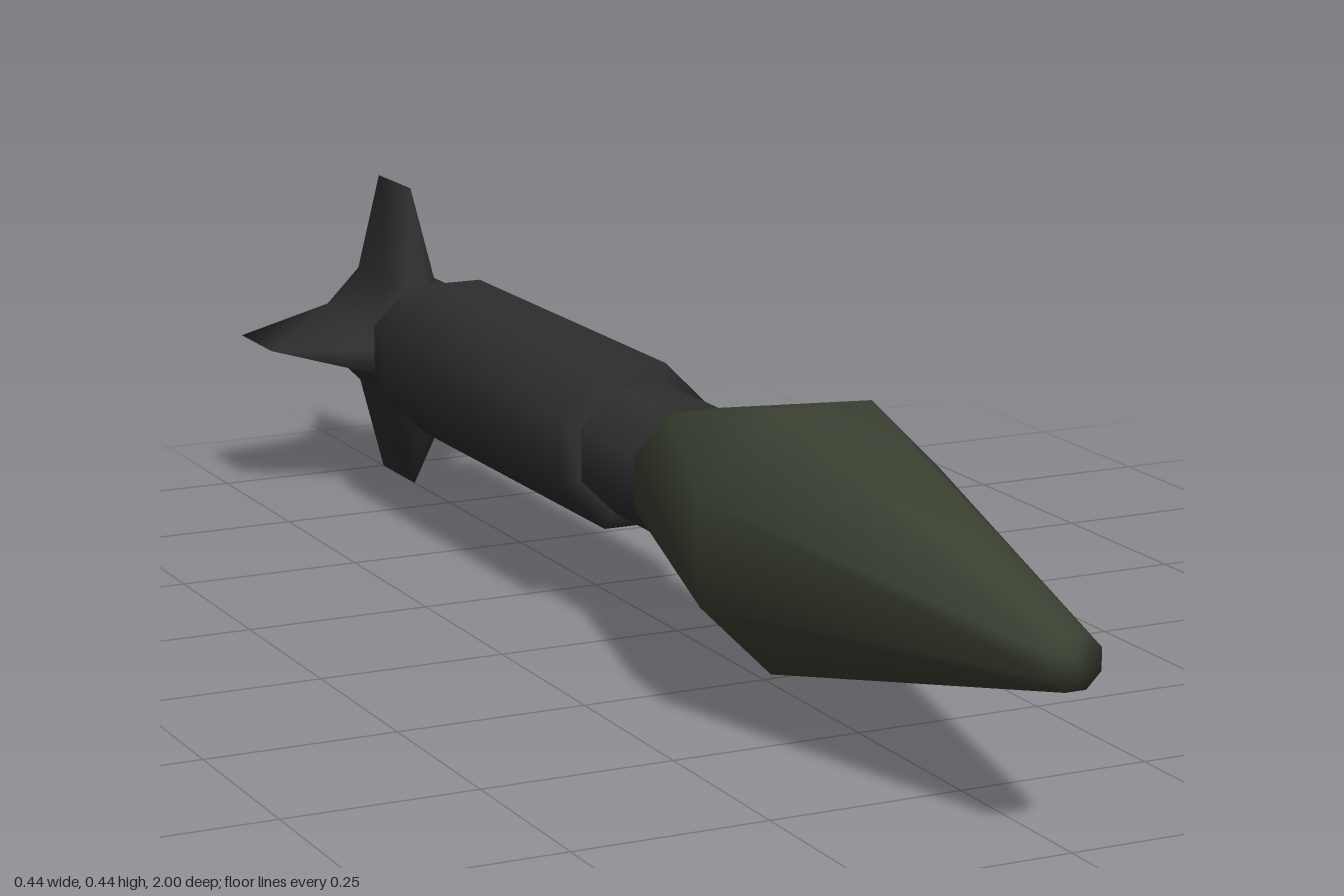
import * as THREE from 'three';

const AXIS_Y = 0.224;
const SIDE = Math.tan(Math.PI / 8);

// Octagon with flat top and sides; a tip radius adds a point on four of its sides
function ring(z, apothem, tip) {
  const points = [];
  for (let q = 0; q < 4; q++) {
    const c = Math.cos(q * Math.PI / 2), s = Math.sin(q * Math.PI / 2);
    const quarter = [[apothem, apothem * SIDE], [apothem * SIDE, apothem]];
    if (tip) quarter.unshift([tip, 0]);
    for (const [x, y] of quarter) points.push([x * c - y * s, x * s + y * c, z]);
  }
  return points;
}

// Smooth closed skin through rings ordered from front to back
function loft(name, rings, material) {
  const n = rings[0].length, last = rings.length - 1;
  const positions = rings.flat(2);
  const index = [];
  for (let i = 0; i < last; i++) {
    for (let j = 0; j < n; j++) {
      const k = (j + 1) % n;
      const a = i * n + j, b = i * n + k, c = a + n, d = b + n;
      index.push(a, c, b, b, c, d);
    }
  }
  const front = rings.length * n, back = front + 1;
  positions.push(0, 0, rings[0][0][2], 0, 0, rings[last][0][2]);
  for (let j = 0; j < n; j++) {
    const k = (j + 1) % n;
    index.push(front, j, k, back, last * n + k, last * n + j);
  }
  const geometry = new THREE.BufferGeometry();
  geometry.setAttribute('position', new THREE.Float32BufferAttribute(positions, 3));
  geometry.setIndex(index);
  geometry.computeVertexNormals();
  const mesh = new THREE.Mesh(geometry, material);
  mesh.name = name;
  mesh.position.y = AXIS_Y;
  return mesh;
}

export function createModel() {
  const green = new THREE.MeshStandardMaterial({ color: 0x3b4233 });
  green.name = 'olive green';
  const grey = new THREE.MeshStandardMaterial({ color: 0x2f2f2f });
  grey.name = 'dark grey';

  const model = new THREE.Group();
  model.name = 'rocket';
  model.add(
    // Double-tapered head with a blunt nose
    loft('warhead', [ring(1, 0.033), ring(0.4, 0.165), ring(0.05, 0.085)], green),
    // Slim tube running through the sleeve to the tail
    loft('neck', [ring(0.05, 0.085), ring(-0.82, 0.085)], grey),
    // Thicker sleeve with bevelled ends
    loft('sleeve', [
      ring(-0.11, 0.085), ring(-0.125, 0.108), ring(-0.735, 0.108), ring(-0.75, 0.085),
    ], grey),
    // Four fins drawn out of the tube's sides
    loft('tailFins', [
      ring(-0.82, 0.085, 0.085), ring(-0.88, 0.085, 0.221), ring(-1, 0.085, 0.221),
    ], grey),
  );
  return model;
}
